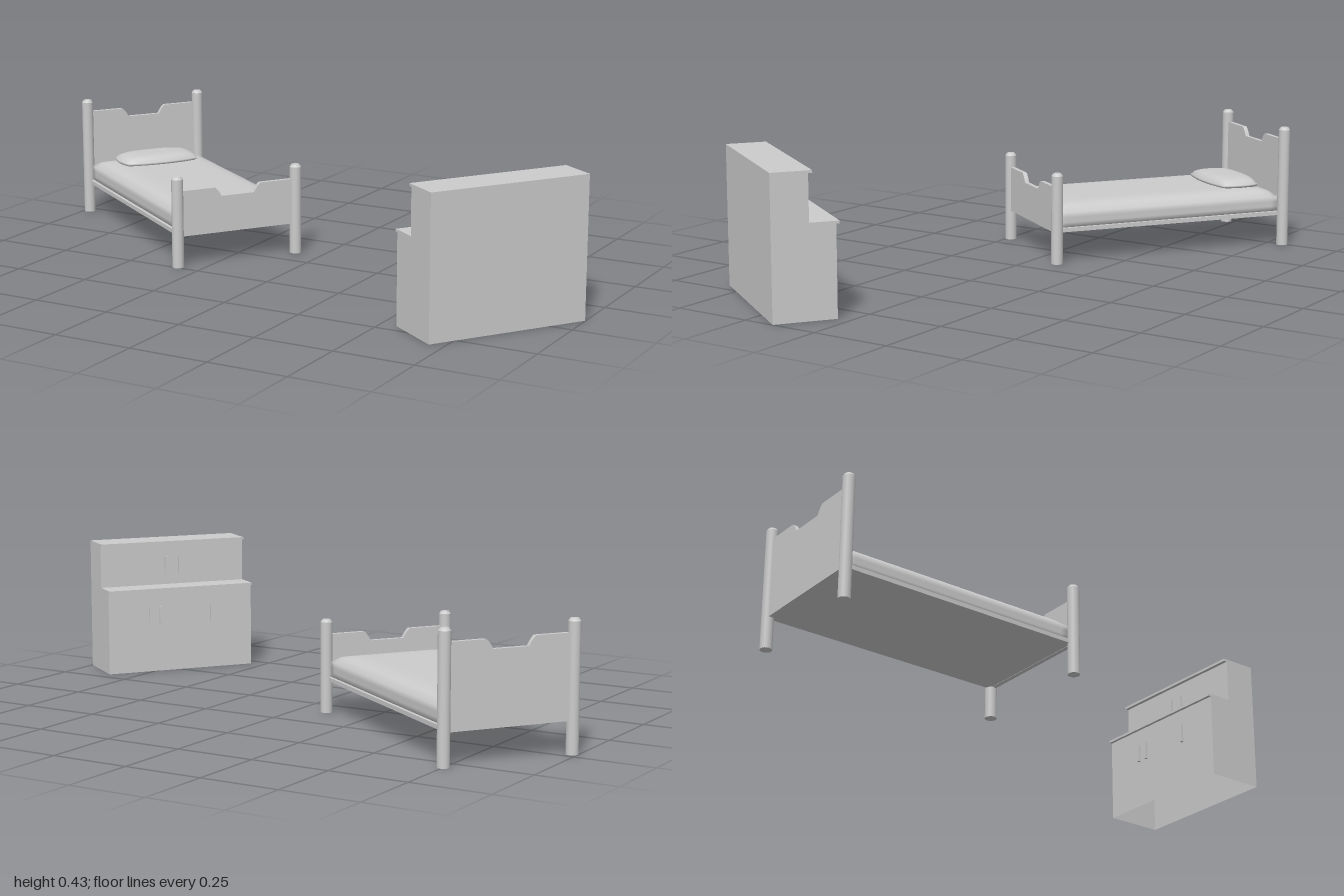
import * as THREE from 'three';
import { mergeVertices } from 'three/addons/utils/BufferGeometryUtils.js';

const grey = new THREE.MeshStandardMaterial({ color: 0xcccccc, side: THREE.DoubleSide });
grey.name = 'plain grey';
const TURN = -0.611; // both pieces stand at 35 degrees

function add(group, name, geometry, x = 0, y = 0, z = 0) {
  const mesh = new THREE.Mesh(geometry, grey);
  mesh.name = name;
  mesh.position.set(x, y, z);
  group.add(mesh);
  return mesh;
}

// Box given by its limits
function block(group, name, [x0, x1], [y0, y1], [z0, z1]) {
  return add(group, name, new THREE.BoxGeometry(x1 - x0, y1 - y0, z1 - z0),
    (x0 + x1) / 2, (y0 + y1) / 2, (z0 + z1) / 2);
}

// Soft shape: a segmented box whose vertices are moved by a rule of u, t, v in -1..1
function softBox(w, h, d, segments, rule) {
  let g = new THREE.BoxGeometry(w, h, d, ...segments);
  g.deleteAttribute('normal');
  g.deleteAttribute('uv');
  g = mergeVertices(g);
  const p = g.attributes.position;
  for (let i = 0; i < p.count; i++) {
    const u = p.getX(i) / w * 2, t = p.getY(i) / h * 2, v = p.getZ(i) / d * 2;
    p.setXYZ(i, ...rule(u, t, v));
  }
  g.computeVertexNormals();
  return g;
}

// Post with a slightly bevelled top
function post(height) {
  const r = 0.0185;
  const profile = [[0, 0], [r, 0], [r, 0], [r, height - 0.008], [r, height - 0.008],
    [r - 0.006, height], [r - 0.006, height], [0, height]];
  return new THREE.LatheGeometry(profile.map(([x, y]) => new THREE.Vector2(x, y)), 16);
}

// End board with a notch in its top edge
function endBoard(top) {
  const s = new THREE.Shape();
  const half = 0.2, notch = top - 0.029;
  s.moveTo(-half, 0.098);
  s.lineTo(half, 0.098);
  s.lineTo(half, top);
  s.lineTo(0.078, top);
  s.quadraticCurveTo(0.068, top - 0.006, 0.056, notch);
  s.lineTo(-0.056, notch);
  s.quadraticCurveTo(-0.068, top - 0.006, -0.078, top);
  s.lineTo(-half, top);
  const g = new THREE.ExtrudeGeometry(s, { depth: 0.014, bevelEnabled: false, curveSegments: 4 });
  return g.translate(0, 0, -0.007).rotateY(Math.PI / 2);
}

function createBed() {
  const bed = new THREE.Group();
  bed.name = 'bed';
  const hx = 0.4, hz = 0.203;

  for (const z of [-hz, hz]) {
    add(bed, 'headPost', post(0.39), -hx, 0, z);
    add(bed, 'footPost', post(0.29), hx, 0, z);
  }
  add(bed, 'headboard', endBoard(0.35), -hx);
  add(bed, 'footboard', endBoard(0.244), hx);
  block(bed, 'bedBase', [-hx, hx], [0.099, 0.112], [-hz, hz]);

  // Mattress: flat top that rounds down at the rim
  const mattress = softBox(0.78, 0.073, 0.385, [28, 3, 18], (u, t, v) => {
    const rim = Math.max(Math.abs(u) ** 16, Math.abs(v) ** 9);
    const k = (t + 1) / 2;
    return [u * 0.39, 0.111 + k * (0.074 - 0.026 * rim), v * 0.1925];
  });
  add(bed, 'mattress', mattress);

  // Pillow: full in the middle, thin at the rim, a little narrower at the ends
  const pillow = softBox(0.15, 0.04, 0.26, [14, 2, 18], (u, t, v) => {
    const swell = Math.sqrt(Math.max(0, (1 - u ** 4) * (1 - v ** 4)));
    return [u * 0.077 * (1 - 0.2 * v * v), t * (0.003 + 0.021 * swell), v * 0.135 * (1 - 0.08 * u * u)];
  });
  add(bed, 'pillow', pillow, -0.284, 0.19, 0);

  bed.position.set(-0.538, 0, -0.156);
  bed.rotation.y = TURN;
  return bed;
}

function createCupboard() {
  const cupboard = new THREE.Group();
  cupboard.name = 'cupboard';
  const width = [-0.256, 0.256], back = 0.1;

  // Lower cabinet, open underneath (the bottom face is dropped)
  const lower = block(cupboard, 'lowerCabinet', [-0.09, back], [0, 0.276], width);
  const index = Array.from(lower.geometry.index.array);
  index.splice(18, 6);
  lower.geometry.setIndex(index);
  lower.geometry.clearGroups();

  block(cupboard, 'counter', [-0.1, back], [0.276, 0.284], width);
  block(cupboard, 'upperCabinet', [-0.011, back], [0.284, 0.425], width);
  block(cupboard, 'topBoard', [-0.023, back], [0.425, 0.433], width);

  // Upright door handles
  const handle = (name, front, y, z) =>
    block(cupboard, name, [front - 0.009, front], [y - 0.03, y + 0.03], [z - 0.004, z + 0.004]);
  for (const z of [-0.109, -0.073, 0.11]) handle('lowerHandle', -0.09, 0.19, z);
  for (const z of [-0.024, 0.024]) handle('upperHandle', -0.011, 0.35, z);

  cupboard.position.set(0.77, 0, 0.303);
  cupboard.rotation.y = TURN;
  return cupboard;
}

export function createModel() {
  const model = new THREE.Group();
  model.name = 'bedroomFurniture';
  model.add(createBed(), createCupboard());
  return model;
}
